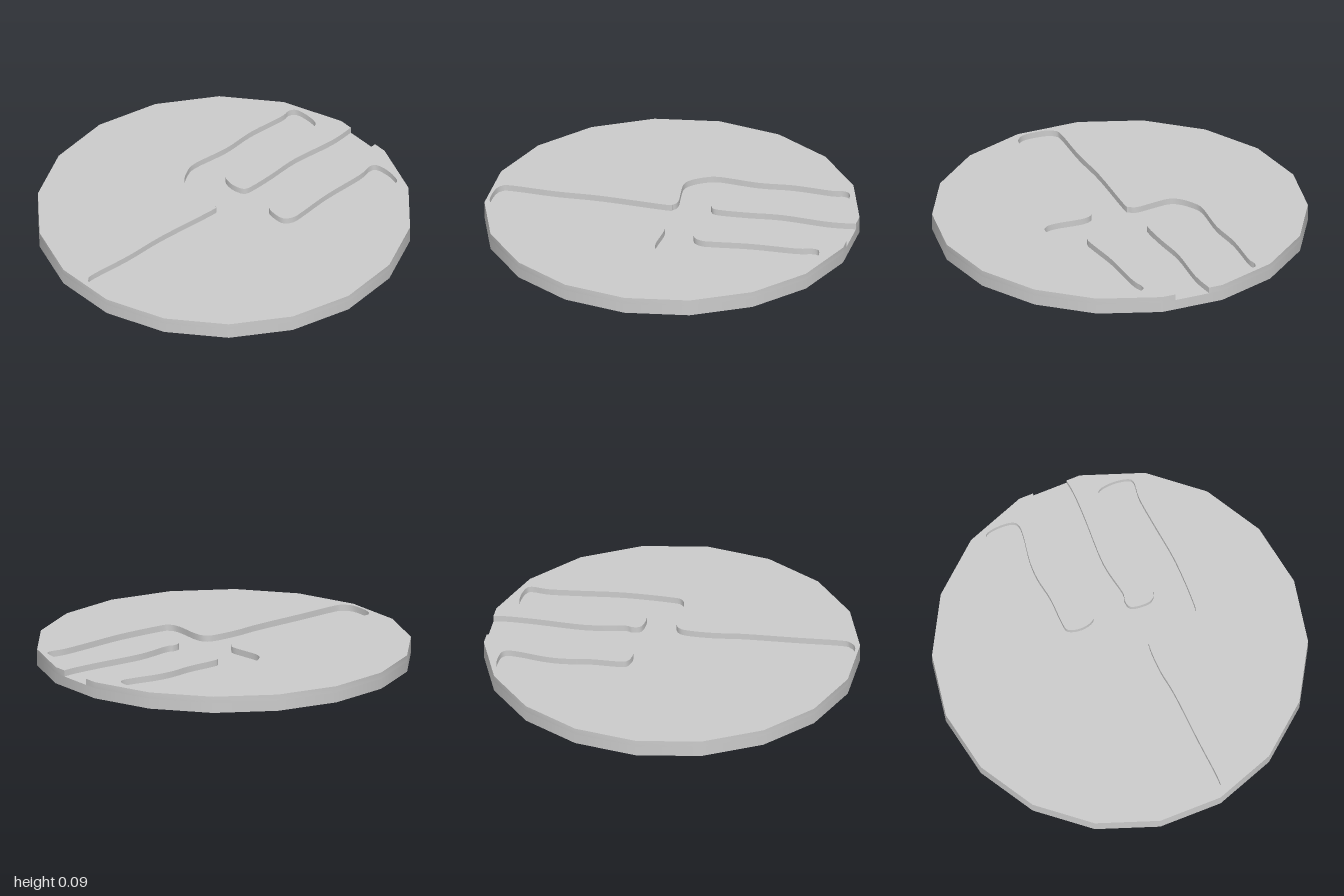
import * as THREE from 'three';
import { toCreasedNormals } from 'three/addons/utils/BufferGeometryUtils.js';

const SIDES = 18, HEIGHT = 0.09, DEPTH = 0.034;

// Fork contour as x, z pairs, from the left rim edge of the middle tine round to the right one
const leftSide = [
  -0.097, -0.985, -0.08, -0.835, -0.09, -0.585, -0.07, -0.4, -0.06, -0.25,
  -0.075, -0.2, -0.145, -0.182, -0.215, -0.2, -0.23, -0.25, -0.235, -0.4,
  -0.256, -0.53, -0.256, -0.64, -0.235, -0.77, -0.232, -0.84, -0.257, -0.873,
  -0.33, -0.882, -0.405, -0.87, -0.425, -0.83, -0.414, -0.77, -0.42, -0.56,
  -0.4, -0.37, -0.41, -0.16, -0.385, -0.08, -0.335, -0.015, -0.28, 0.01,
  -0.18, 0, -0.095, -0.01, -0.055, 0.01, -0.043, 0.055, -0.05, 0.4,
  -0.037, 0.645, -0.04, 0.885, -0.025, 0.94, 0.03, 0.965,
];
const rightSide = [
  0.14, 0.965, 0.19, 0.93, 0.203, 0.875, 0.187, 0.645, 0.17, 0.35,
  0.15, 0.2, 0.148, 0.055, 0.17, 0, 0.235, -0.018, 0.38, -0.01,
  0.443, -0.03, 0.46, -0.09, 0.46, -0.345, 0.433, -0.585, 0.417, -0.745,
  0.425, -0.84, 0.395, -0.87, 0.315, -0.882, 0.24, -0.87, 0.225, -0.83,
  0.245, -0.745, 0.257, -0.505, 0.283, -0.32, 0.29, -0.24, 0.262, -0.19,
  0.203, -0.181, 0.14, -0.195, 0.125, -0.24, 0.133, -0.29, 0.1, -0.48,
  0.107, -0.745, 0.107, -0.9, 0.097, -0.985,
];

// Shape points use y = -z, so that the extrusion can be laid flat
function toPoints(numbers) {
  const points = [];
  for (let i = 0; i < numbers.length; i += 2) {
    points.push(new THREE.Vector2(numbers[i], -numbers[i + 1]));
  }
  return points;
}

export function createModel() {
  const group = new THREE.Group();
  group.name = 'forkCoaster';
  const material = new THREE.MeshStandardMaterial({ color: 0xcccccc });

  // Solid lower disc, whose top is the floor of the recess
  const baseHeight = HEIGHT - DEPTH;
  const baseGeometry = new THREE.CylinderGeometry(1, 1, baseHeight, SIDES);
  baseGeometry.rotateY(Math.PI / 2);
  baseGeometry.translate(0, baseHeight / 2, 0);
  const base = new THREE.Mesh(baseGeometry, material);
  base.name = 'baseDisc';
  group.add(base);

  // Upper layer: the rim polygon, open at the back where the middle tine runs out
  const fork = new THREE.SplineCurve(toPoints([...leftSide, ...rightSide]));
  const contour = fork.getPoints(264).reverse();
  const rimZ = Math.sin((80 * Math.PI) / 180);
  contour[0].y = contour[contour.length - 1].y = rimZ;
  const rim = [];
  for (let k = 5; k < 5 + SIDES; k++) {
    const a = (k * 2 * Math.PI) / SIDES;
    rim.push(new THREE.Vector2(Math.cos(a), Math.sin(a)));
  }
  const shape = new THREE.Shape([...rim, ...contour]);
  const layerGeometry = new THREE.ExtrudeGeometry(shape, { depth: DEPTH, bevelEnabled: false });
  layerGeometry.rotateX(-Math.PI / 2);
  layerGeometry.translate(0, baseHeight, 0);
  const layer = new THREE.Mesh(toCreasedNormals(layerGeometry, 0.6), material);
  layer.name = 'engravedTop';
  group.add(layer);

  return group;
}
